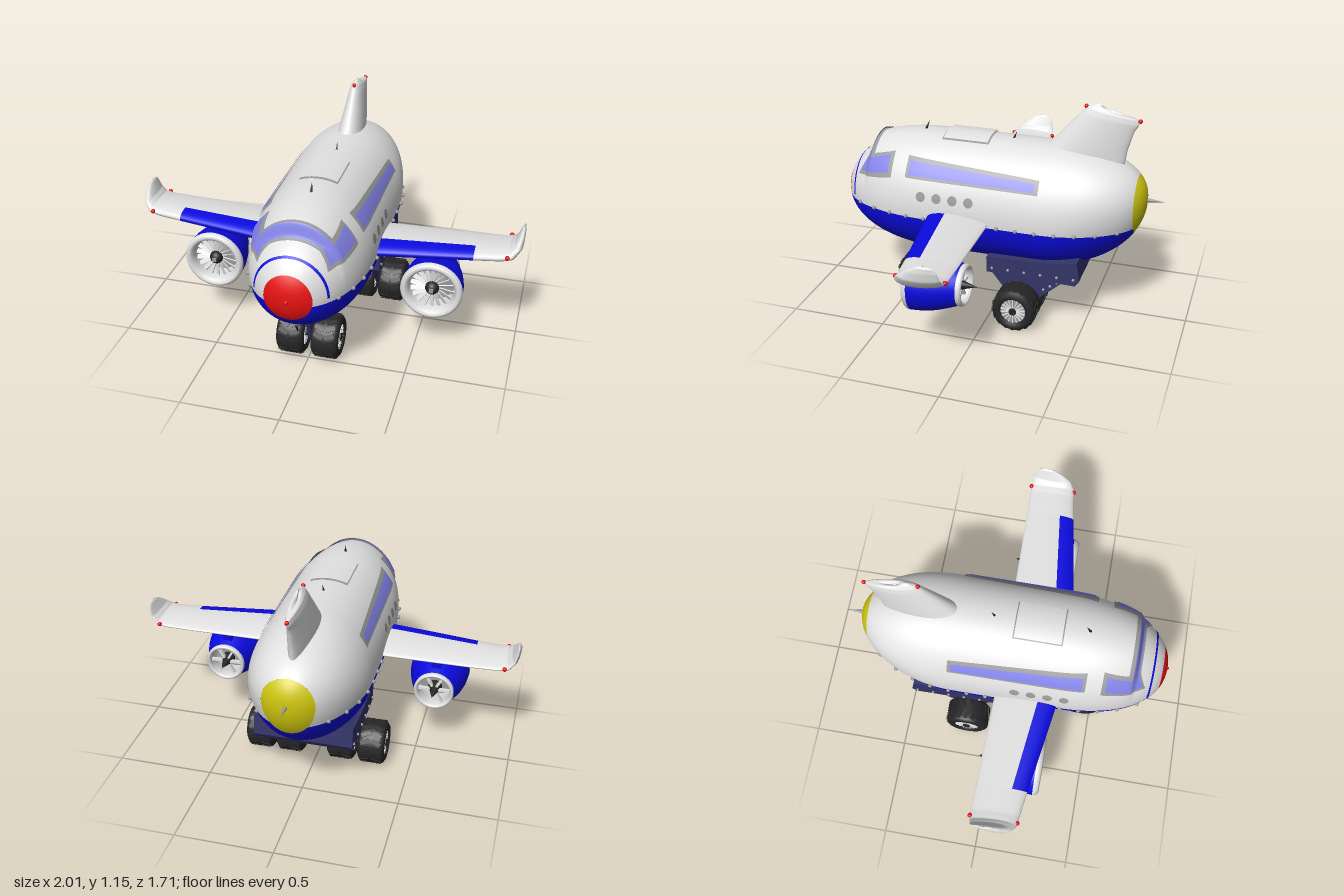
import * as THREE from 'three';

const mat = (name, color) => Object.assign(new THREE.MeshStandardMaterial({ color, side: THREE.DoubleSide }), { name });
const M = {
  white: mat('white paint', 0xe2e2e2), blue: mat('blue paint', 0x0a0ae0), navy: mat('navy metal', 0x34346a),
  red: mat('red paint', 0xe81212), yellow: mat('yellow paint', 0xcfc70f), glass: mat('window glass', 0x8484ea),
  grey: mat('grey trim', 0x9a9a9a), dark: mat('dark rubber', 0x262626),
};
const { asin, cos, sin, sqrt, PI, max, min, pow, abs } = Math;

function add(parent, name, geo, m, x = 0, y = 0, z = 0) {
  const mesh = new THREE.Mesh(geo, m);
  mesh.name = name;
  mesh.position.set(x, y, z);
  parent.add(mesh);
  return mesh;
}
function addGroup(parent, name, x = 0, y = 0, z = 0) {
  const g = new THREE.Group();
  g.name = name;
  g.position.set(x, y, z);
  parent.add(g);
  return g;
}
// Smooth surface from f(u, v) -> [x, y, z]
function grid(f, nu, nv, flip = false) {
  const pos = [], idx = [];
  for (let i = 0; i <= nu; i++) for (let j = 0; j <= nv; j++) pos.push(...f(i / nu, j / nv));
  for (let i = 0; i < nu; i++) for (let j = 0; j < nv; j++) {
    const a = i * (nv + 1) + j, b = a + nv + 1;
    if (flip) idx.push(a, b + 1, b, a, a + 1, b + 1);
    else idx.push(a, b, b + 1, a, b + 1, a + 1);
  }
  const g = new THREE.BufferGeometry();
  g.setAttribute('position', new THREE.Float32BufferAttribute(pos, 3));
  g.setIndex(idx);
  g.computeVertexNormals();
  return g;
}
const lerp = THREE.MathUtils.lerp;
const smooth = t => THREE.MathUtils.smoothstep(t, 0, 1);
const lathe = (pts, n = 40) => new THREE.LatheGeometry(pts.map(p => new THREE.Vector2(...p)), n);

// Fuselage section at z: half width, top, bottom, centre height
function section(z) {
  const e = z > 0.3 ? pow(max(0, 1 - pow((z - 0.3) / 0.55, 2.2)), 1 / 2.2)
    : z < -0.25 ? sqrt(max(0, 1 - pow((z + 0.25) / 0.51, 2))) : 1;
  const cy = 0.565 + 0.095 * smooth((-0.2 - z) / 0.56);
  const step = smooth((0.69 - z) / 0.025); // windscreen step
  const top = z > 0 ? 0.565 + lerp(0.325 * e, 0.355 * pow(e, 0.6), step) : 0.66 + 0.26 * pow(e, 0.8);
  const bot = z > 0 ? 0.565 - 0.295 * e : 0.66 - 0.39 * e;
  return { w: 0.305 * e, top, bot, cy };
}
function skin(z, a, o = 0) {
  const s = section(z), h = sin(a) > 0 ? s.top - s.cy : s.cy - s.bot;
  return [(s.w + o) * cos(a), s.cy + (h + o) * sin(a), z];
}
const angleAt = (z, y) => {
  const s = section(z), d = y - s.cy;
  return asin(max(-1, min(1, d / max(1e-4, d > 0 ? s.top - s.cy : s.cy - s.bot))));
};
// Strip of fuselage skin between z1 (front) and z0 (back), angles from range(z)
function skinStrip(z1, z0, range, nu, nv, o = 0) {
  const t = z => asin(max(-1, min(1, (z - 0.045) / 0.805)));
  return grid((u, v) => {
    const z = 0.045 + 0.805 * sin(lerp(t(z1), t(z0), u)), [a, b] = range(z);
    return skin(z, lerp(a, b, v), o);
  }, nu, nv);
}
// Quad in (z, y) laid on the fuselage side; corners: low front, low back, high back, high front
function sidePatch(c, s, o) {
  return grid((u, v) => {
    const p = k => lerp(lerp(c[0][k], c[1][k], u), lerp(c[3][k], c[2][k], u), v), z = p(0);
    const [x, y] = skin(z, angleAt(z, p(1)), o);
    return [s * x, y, z];
  }, 32, 10, s < 0);
}
// Airfoil loop: t = 0 at leading edge; gives chord fraction and half thickness
const foil = t => { const c = (1 - cos(t)) / 2; return [c, 0.5 * sin(t) * (1.15 - 0.5 * c)]; };
// Interpolate table rows by their first column
function row(table, k) {
  let i = 0;
  while (i < table.length - 2 && table[i + 1][0] < k) i++;
  const a = table[i], b = table[i + 1], f = (k - a[0]) / (b[0] - a[0]);
  return a.map((q, j) => lerp(q, b[j], f));
}

function buildFuselage(g) {
  const seam = z => angleAt(z, 0.54);
  add(g, 'upperFuselage', skinStrip(0.818, -0.71, z => [seam(z), PI - seam(z)], 130, 40), M.white);
  add(g, 'lowerFuselage', skinStrip(0.818, -0.71, z => [PI - seam(z), 2 * PI + seam(z)], 130, 40), M.blue);
  add(g, 'noseCap', skinStrip(0.85, 0.818, () => [0, 2 * PI], 12, 48), M.red);
  add(g, 'tailCap', skinStrip(-0.71, -0.76, () => [0, 2 * PI], 12, 48), M.yellow);
  add(g, 'noseStripe', skinStrip(0.772, 0.762, () => [0, PI], 3, 40, 0.003), M.blue);
  add(g, 'tailSpike', new THREE.ConeGeometry(0.012, 0.1, 12), M.grey, 0, 0.665, -0.797).rotation.x = -PI / 2;
  add(g, 'noseBolt', new THREE.SphereGeometry(0.01, 10, 8), M.red, 0, 0.565, 0.85);
  // Roof hatch and aerials
  add(g, 'hatchTrim', skinStrip(0.295, 0.045, () => [PI / 2 - 0.325, PI / 2 + 0.325], 8, 12, 0.005), M.grey);
  add(g, 'hatch', skinStrip(0.288, 0.052, () => [PI / 2 - 0.305, PI / 2 + 0.305], 8, 12, 0.012), M.white);
  for (const [y, z, r] of [[0.935, 0.41, -0.4], [0.93, -0.065, -0.4], [0.305, 0.685, PI + 0.4]])
    add(g, 'aerial', new THREE.ConeGeometry(0.008, 0.06, 8), M.dark, 0, y, z).rotation.x = r;
  // Windscreen
  add(g, 'windscreenFrame', skinStrip(0.702, 0.645, () => [0.62, PI - 0.62], 20, 40, 0.006), M.grey);
  add(g, 'windscreen', skinStrip(0.693, 0.666, () => [0.68, PI - 0.68], 20, 40, 0.012), M.glass);
  for (const s of [1, -1]) {
    add(g, 'cockpitWindowFrame', sidePatch([[0.74, 0.685], [0.52, 0.725], [0.52, 0.84], [0.69, 0.795]], s, 0.007), M.grey);
    add(g, 'cockpitWindow', sidePatch([[0.725, 0.703], [0.54, 0.745], [0.54, 0.82], [0.69, 0.775]], s, 0.013), M.glass);
    add(g, 'cabinWindowFrame', sidePatch([[0.44, 0.74], [-0.26, 0.735], [-0.26, 0.80], [0.44, 0.835]], s, 0.005), M.grey);
    add(g, 'cabinWindow', sidePatch([[0.423, 0.753], [-0.24, 0.746], [-0.24, 0.784], [0.423, 0.815]], s, 0.01), M.glass);
    for (let i = 0; i < 4; i++) {
      const z = 0.345 - i * 0.085;
      add(g, 'porthole', grid((u, v) => {
        const zz = z + 0.025 * u * cos(v * 2 * PI), y = 0.66 + 0.025 * u * sin(v * 2 * PI);
        const p = skin(zz, angleAt(zz, y), 0.005);
        return [s * p[0], p[1], zz];
      }, 3, 20, s > 0), M.grey);
    }
    // Rivets along the colour seam
    for (let z = 0.72; z > -0.65; z -= 0.0975)
      add(g, 'seamRivet', new THREE.SphereGeometry(0.011, 8, 6), M.grey, s * (skin(z, angleAt(z, 0.545))[0] + 0.004), 0.545, z);
  }
}

function buildFin(g) {
  // height, leading z, trailing z, thickness
  const T = [[0.82, -0.14, -0.63, 0.16], [0.92, -0.25, -0.645, 0.135], [1.03, -0.345, -0.675, 0.1], [1.1, -0.405, -0.695, 0.08],
    [1.13, -0.435, -0.69, 0.062], [1.145, -0.47, -0.62, 0.035], [1.15, -0.5, -0.54, 0.004]];
  add(g, 'tailFin', grid((u, v) => {
    const i = u * 24, k = Math.floor(i / 4), n = min(k + 1, 6);
    const y = lerp(T[k][0], T[n][0], i / 4 - k), [, a, b, th] = row(T, y), [c, h] = foil((v * 2 - 1) * PI);
    return [th * h, y - 0.045 * c * smooth((y - 1) / 0.12), lerp(a, b, c)];
  }, 24, 48), M.white);
  for (const [y, z] of [[1.13, -0.43], [1.078, -0.7]]) add(g, 'finLight', new THREE.SphereGeometry(0.011, 10, 8), M.red, 0, y, z);
}

function buildWing(g, s) {
  // path parameter, x, y, leading z, trailing z, thickness, tilt
  const T = [[0, 0.24, 0.553, 0.32, -0.01, 0.085, 0], [1, 0.3, 0.553, 0.312, -0.012, 0.082, 0], [2, 0.77, 0.558, 0.24, -0.02, 0.068, 0],
    [3, 0.9, 0.562, 0.222, -0.022, 0.066, 0.1], [4, 0.95, 0.572, 0.215, -0.02, 0.064, 0.5], [5, 0.978, 0.605, 0.19, -0.014, 0.05, 1.1],
    [6, 0.989, 0.645, 0.14, -0.006, 0.032, 1.3], [7, 0.993, 0.668, 0.1, 0.01, 0.018, 1.3], [8, 0.994, 0.677, 0.07, 0.04, 0.002, 1.3]];
  const part = (k0, k1, t0, t1, n) => grid((u, v) => {
    const [, x, y, a, b, th, r] = row(T, lerp(k0, k1, u)), [c, h] = foil(lerp(t0, t1, v));
    return [s * (x - th * h * sin(r)), y + th * h * cos(r), lerp(a, b, c)];
  }, n, 40, s < 0);
  const w = addGroup(g, s > 0 ? 'leftWing' : 'rightWing'), split = 1.16;
  add(w, 'wingRearPanel', part(0, 2, split, 2 * PI - split, 8), M.white);
  add(w, 'wingLeadingEdge', part(0, 2, -split, split, 8), M.blue);
  add(w, 'wingTip', part(2, 8, -PI, PI, 36), M.white);
  for (const z of [0.216, -0.022]) add(w, 'wingLight', new THREE.SphereGeometry(0.012, 10, 8), M.red, s * 0.932, 0.572, z);
}

function buildEngine(g, s) {
  const e = addGroup(g, s > 0 ? 'leftEngine' : 'rightEngine', s * 0.577, 0.36, 0);
  const turned = (name, pts, m) => { add(e, name, lathe(pts), m).rotation.x = PI / 2; };
  turned('intakeLip', [[0.158, 0.262], [0.158, 0.275], [0.15, 0.288], [0.138, 0.293], [0.124, 0.284], [0.116, 0.262], [0.112, 0.23]], M.white);
  turned('cowling', [[0.102, 0.028], [0.122, 0.08], [0.142, 0.14], [0.154, 0.2], [0.158, 0.262]], M.blue);
  turned('exhaustLip', [[0.086, 0.06], [0.084, 0.02], [0.09, 0.003], [0.1, 0.003], [0.106, 0.014], [0.104, 0.03]], M.white);
  turned('duct', [[0.112, 0.23], [0.11, 0.16], [0.086, 0.06]], M.white);
  add(e, 'fanBacking', new THREE.CylinderGeometry(0.108, 0.108, 0.01, 36), M.grey, 0, 0, 0.17).rotation.x = PI / 2;
  for (let i = 0; i < 18; i++) {
    const arm = addGroup(e, 'fanBlade', 0, 0, 0.235);
    arm.rotation.z = i * PI / 9;
    add(arm, 'blade', new THREE.BoxGeometry(0.024, 0.085, 0.005), M.white, 0, 0.072, 0).rotation.y = 0.55;
  }
  add(e, 'fanHub', new THREE.SphereGeometry(0.036, 20, 14), M.dark, 0, 0, 0.24);
  add(e, 'hubMark', new THREE.BoxGeometry(0.022, 0.022, 0.008), M.grey, 0, 0, 0.275);
  add(e, 'exhaustCone', new THREE.ConeGeometry(0.036, 0.12, 20), M.dark, 0, 0, 0.01).rotation.x = -PI / 2;
  for (let i = 0; i < 3; i++) add(e, 'exhaustStrut', new THREE.BoxGeometry(0.174, 0.012, 0.02), M.white, 0, 0, 0.035).rotation.z = i * PI / 3;
  add(e, 'pylon', new THREE.BoxGeometry(0.05, 0.1, 0.18), M.blue, 0, 0.15, 0.15);
}

function buildWheel(g, x, z) {
  const w = addGroup(g, 'wheel', x, 0.117, z), h = 0.07;
  add(w, 'tyre', lathe([[0.066, -h + 0.012], [0.074, -h], [0.094, -h], [0.108, -h + 0.01], [0.113, -h + 0.03], [0.114, 0],
    [0.113, h - 0.03], [0.108, h - 0.01], [0.094, h], [0.074, h], [0.066, h - 0.012]]), M.dark).rotation.z = PI / 2;
  add(w, 'rim', new THREE.CylinderGeometry(0.068, 0.068, 2 * h - 0.03, 32), M.grey).rotation.z = PI / 2;
  const tread = new THREE.BoxGeometry(0.05, 0.006, 0.022);
  const spoke = new THREE.BoxGeometry(2 * h - 0.014, 0.046, 0.005);
  for (let i = 0; i < 18; i++) {
    const arm = addGroup(w, 'treadAndSpoke');
    arm.rotation.x = i * PI / 9;
    for (const s of [1, -1]) add(arm, 'treadBlock', tread, M.dark, s * 0.029, 0.113, 0).rotation.y = s * 0.4;
    add(arm, 'spoke', spoke, M.white, 0, 0.042, 0);
  }
  add(w, 'hub', new THREE.CylinderGeometry(0.02, 0.02, 2 * h - 0.004, 16), M.dark).rotation.z = PI / 2;
}

// Plate with a (z, y) outline, extruded across x
function plate(g, name, pts, x, width) {
  const geo = new THREE.ExtrudeGeometry(new THREE.Shape(pts.map(([z, y]) => new THREE.Vector2(-z, y))), { depth: width, bevelEnabled: false });
  geo.translate(0, 0, -width / 2);
  add(g, name, geo, M.navy, x).rotation.y = PI / 2;
}

function buildGear(g) {
  const bolt = new THREE.SphereGeometry(0.008, 8, 6);
  plate(g, 'bellyFairing', [[0.01, 0.265], [-0.46, 0.255], [-0.48, 0.285], [-0.465, 0.385], [-0.3, 0.36], [0.01, 0.35]], 0, 0.51);
  plate(g, 'frontStrut', [[0.54, 0.3], [0.46, 0.09], [0.42, 0.09], [0.3, 0.24], [0.27, 0.3]], 0, 0.022);
  add(g, 'frontAxle', new THREE.CylinderGeometry(0.018, 0.018, 0.2, 14), M.dark, 0, 0.117, 0.44).rotation.z = PI / 2;
  for (const s of [1, -1]) {
    plate(g, 'rearStrut', [[0, 0.27], [-0.14, 0.09], [-0.2, 0.09], [-0.3, 0.17], [-0.41, 0.27]], s * 0.22, 0.022);
    buildWheel(g, s * 0.09, 0.44);
    for (const d of [-0.082, 0.082]) buildWheel(g, s * (0.22 + d), -0.165);
    for (let i = 0; i < 6; i++) add(g, 'fairingBolt', bolt, M.grey, s * 0.257, 0.29, -0.02 - i * 0.086);
    for (let i = 0; i < 3; i++) {
      add(g, 'rearStrutBolt', bolt, M.grey, s * 0.233, 0.245 - i * 0.025, -0.36 + i * 0.035);
      add(g, 'frontStrutBolt', bolt, M.grey, s * 0.013, 0.245, 0.5 - i * 0.08);
    }
  }
}

export function createModel() {
  const g = new THREE.Group();
  g.name = 'airplane';
  buildFuselage(addGroup(g, 'fuselage'));
  buildFin(addGroup(g, 'tail'));
  for (const s of [1, -1]) { buildWing(g, s); buildEngine(g, s); }
  buildGear(addGroup(g, 'landingGear'));
  return g;
}
